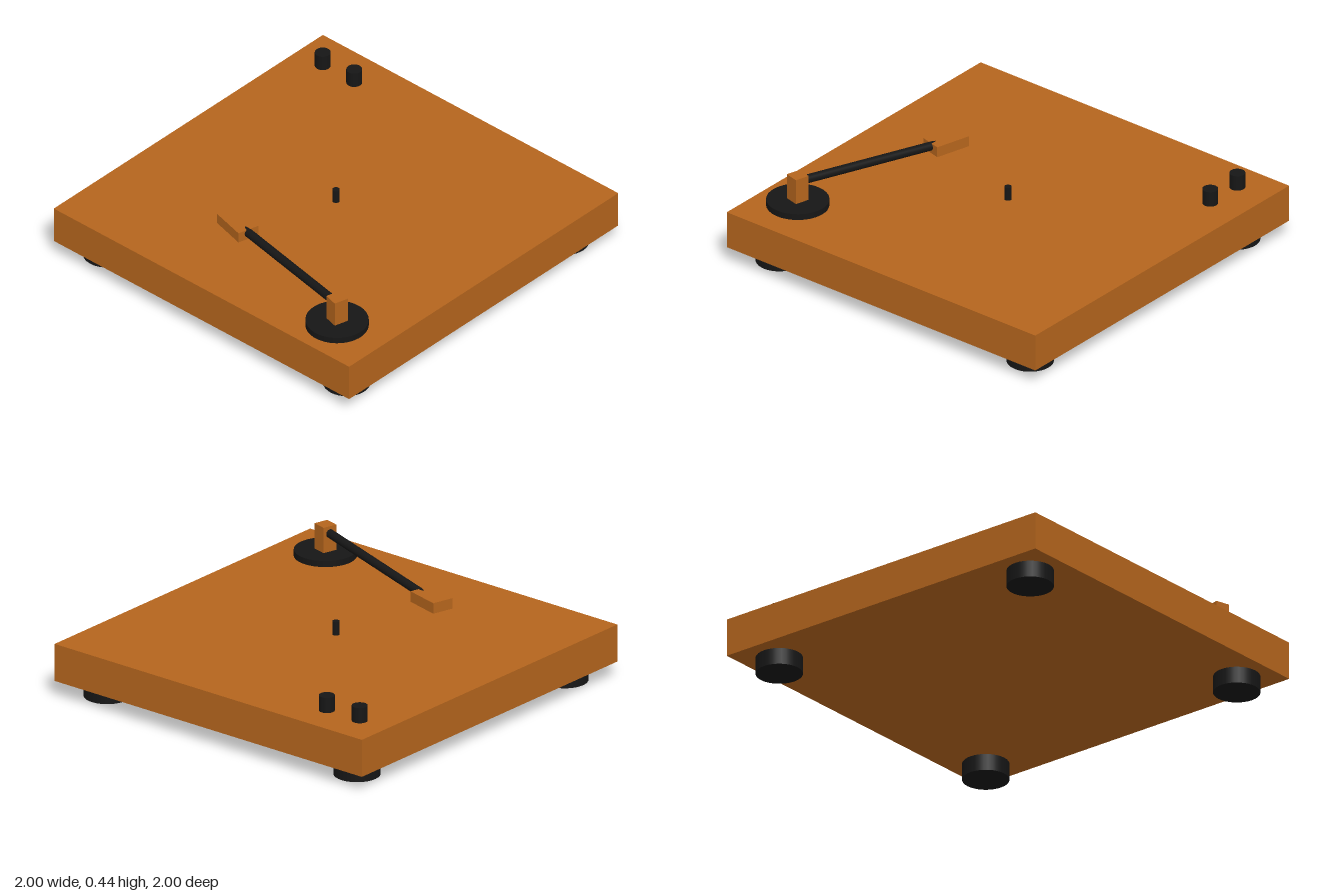
import * as THREE from 'three';

const wood = new THREE.MeshStandardMaterial({ color: 0xb5651d });
const black = new THREE.MeshStandardMaterial({ color: 0x161616 });

export function createModel() {
  const model = new THREE.Group();
  model.name = 'recordPlayer';

  // The whole deck sits slightly turned on its base
  const deck = new THREE.Group();
  deck.name = 'deck';
  deck.rotation.y = THREE.MathUtils.degToRad(1.5);
  model.add(deck);

  const add = (parent, name, geometry, material, x, y, z) => {
    const mesh = new THREE.Mesh(geometry, material);
    mesh.name = name;
    mesh.position.set(x, y, z);
    parent.add(mesh);
    return mesh;
  };
  const box = (parent, name, w, d, y0, y1, x, z) =>
    add(parent, name, new THREE.BoxGeometry(w, y1 - y0, d), wood, x, (y0 + y1) / 2, z);
  const disc = (parent, name, r, y0, y1, x, z) =>
    add(parent, name, new THREE.CylinderGeometry(r, r, y1 - y0, 32), black, x, (y0 + y1) / 2, z);

  // Plinth and four feet
  box(deck, 'plinth', 1.95, 1.95, 0.085, 0.28, 0, 0);
  for (const x of [-0.793, 0.793]) {
    for (const z of [-0.793, 0.793]) disc(deck, 'foot', 0.116, 0, 0.085, x, z);
  }

  // Centre spindle and control knobs
  disc(deck, 'spindle', 0.018, 0.28, 0.35, 0, 0);
  for (const z of [-0.805, -0.597]) disc(deck, 'knob', 0.039, 0.28, 0.36, 0.787, z);

  // Tonearm: built along -z from its pivot, then swung inwards
  const tonearm = new THREE.Group();
  tonearm.name = 'tonearm';
  tonearm.position.set(-0.756, 0, 0.696);
  tonearm.rotation.y = THREE.MathUtils.degToRad(-14.8);
  deck.add(tonearm);
  disc(tonearm, 'armBase', 0.155, 0.28, 0.312, 0, 0);
  box(tonearm, 'armPost', 0.076, 0.076, 0.312, 0.445, 0, 0);
  box(tonearm, 'headshell', 0.116, 0.192, 0.312, 0.367, 0, -0.893);

  // Sloping arm tube from post to headshell
  const start = new THREE.Vector3(0, 0.41, 0);
  const end = new THREE.Vector3(0, 0.34, -0.893);
  const along = end.clone().sub(start);
  const tube = add(tonearm, 'armTube', new THREE.CylinderGeometry(0.022, 0.022, along.length(), 24), black,
    0, 0.375, -0.4465);
  tube.quaternion.setFromUnitVectors(new THREE.Vector3(0, 1, 0), along.normalize());

  return model;
}
